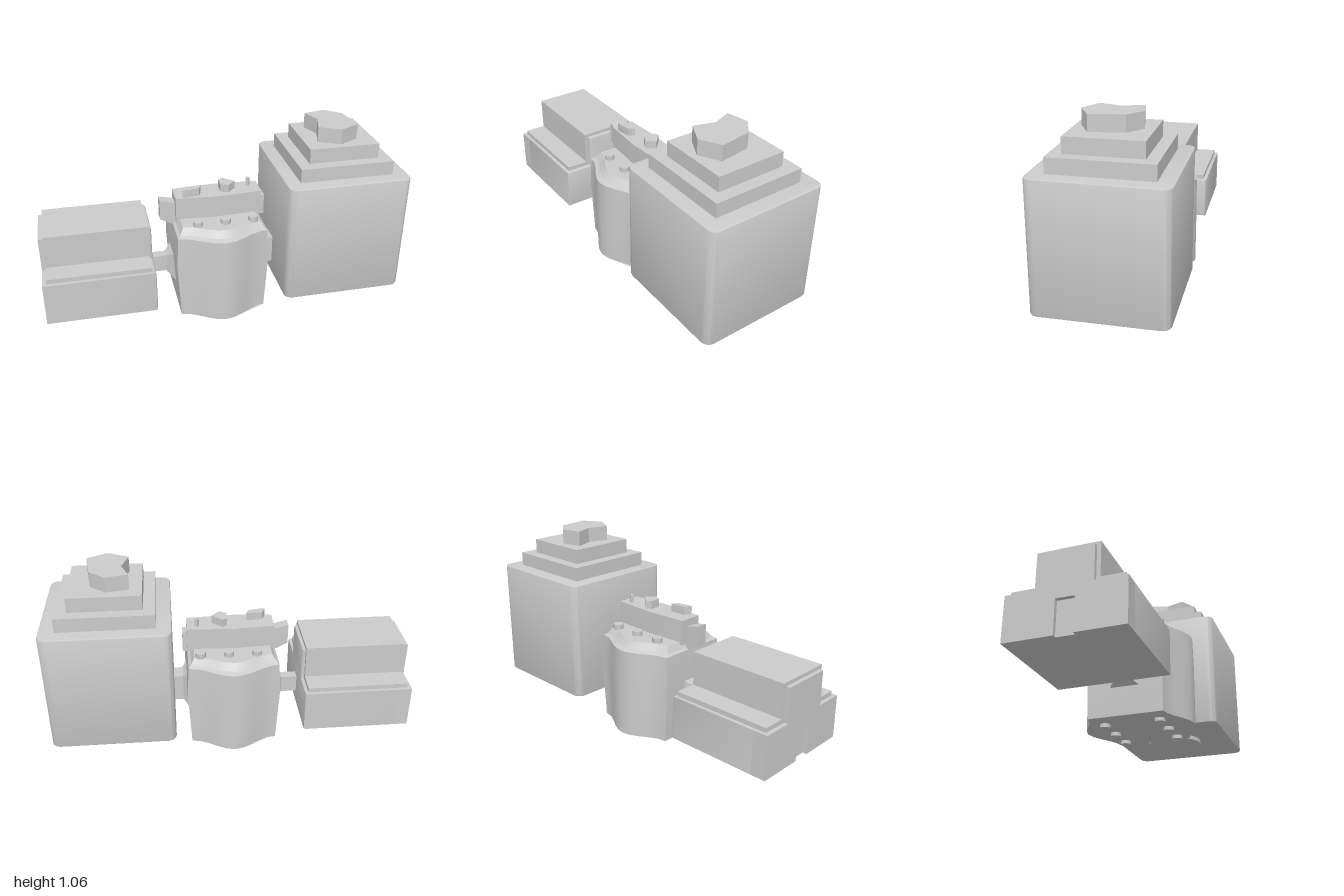
import * as THREE from 'three';
import { toCreasedNormals, mergeGeometries } from 'three/addons/utils/BufferGeometryUtils.js';

const material = new THREE.MeshStandardMaterial({ color: 0xcccccc });

// Upright prism from [x, z] outline points, between heights y0 and y1.
function prism(points, y0, y1, bevel = 0) {
  const shape = new THREE.Shape(points.map(([x, z]) => new THREE.Vector2(x, -z)));
  const geo = new THREE.ExtrudeGeometry(shape, {
    depth: y1 - y0 - 2 * bevel, bevelEnabled: bevel > 0, bevelSize: bevel,
    bevelThickness: bevel, bevelOffset: -bevel, bevelSegments: 2,
  });
  return toCreasedNormals(geo.rotateX(-Math.PI / 2).translate(0, y0 + bevel, 0), 0.6);
}

// Bar along x from [z, y] section points.
function bar(points, x0, x1, bevel = 0) {
  const shape = new THREE.Shape(points.map(([z, y]) => new THREE.Vector2(-z, y)));
  const geo = new THREE.ExtrudeGeometry(shape, {
    depth: x1 - x0 - 2 * bevel, bevelEnabled: bevel > 0, bevelSize: bevel,
    bevelThickness: bevel, bevelOffset: -bevel, bevelSegments: 2,
  });
  return toCreasedNormals(geo.rotateY(Math.PI / 2).translate(x0 + bevel, 0, 0), 0.6);
}

function box(x0, x1, y0, y1, z0, z1) {
  return new THREE.BoxGeometry(x1 - x0, y1 - y0, z1 - z0)
    .translate((x0 + x1) / 2, (y0 + y1) / 2, (z0 + z1) / 2);
}

function disc(x, z, r, y0, y1, sides = 24) {
  return new THREE.CylinderGeometry(r, r, y1 - y0, sides).translate(x, (y0 + y1) / 2, z);
}

// Rectangle outline with rounded corners, as [x, z] points.
function roundedRect(cx, cz, hx, hz, r) {
  const points = [];
  for (let c = 0; c < 4; c++) {
    const sx = c === 0 || c === 3 ? 1 : -1, sz = c < 2 ? 1 : -1;
    for (let i = 0; i <= 3; i++) {
      const a = (c + i / 3) * Math.PI / 2;
      points.push([cx + sx * (hx - r) + r * Math.cos(a), cz + sz * (hz - r) + r * Math.sin(a)]);
    }
  }
  return points;
}

// Flat-sided outline with bowed front and back, scaled about its centre.
function lens(hx, side, bow) {
  const points = [];
  for (const s of [1, -1]) {
    for (let i = 0; i <= 10; i++) {
      const t = 1 - i / 5;
      points.push([-0.015 + s * hx * t, s * (side + (bow - side) * (0.5 + 0.5 * Math.cos(Math.PI * t)))]);
    }
  }
  return points;
}

// Solid from stacked rings of [height, outline].
function loft(rings) {
  const n = rings[0][1].length, pos = [], idx = [];
  for (const [y, outline] of rings) for (const [x, z] of outline) pos.push(x, y, z);
  for (let r = 0; r < rings.length - 1; r++) {
    for (let i = 0; i < n; i++) {
      const a = r * n + i, b = r * n + (i + 1) % n;
      idx.push(a, a + n, b, b, a + n, b + n);
    }
  }
  const top = (rings.length - 1) * n;
  for (let i = 1; i < n - 1; i++) idx.push(0, i, i + 1, top, top + i + 1, top + i);
  const geo = new THREE.BufferGeometry();
  geo.setAttribute('position', new THREE.Float32BufferAttribute(pos, 3));
  geo.setIndex(idx);
  return toCreasedNormals(geo, 0.45);
}

// Inverted-T section: wide base with a raised middle.
function tee(base, shoulder, ridge, top) {
  const c = -0.005;
  return [[c - base, 0.14], [c + base, 0.14], [c + base, shoulder], [c + ridge, shoulder],
    [c + ridge, top], [c - ridge, top], [c - ridge, shoulder], [c - base, shoulder]];
}

export function createModel() {
  const model = new THREE.Group();
  const group = (name) => {
    const g = new THREE.Group();
    g.name = name;
    model.add(g);
    return g;
  };
  const add = (parent, name, geo) => {
    const mesh = new THREE.Mesh(geo, material);
    mesh.name = name;
    parent.add(mesh);
  };

  // Low car with a raised spine and a coupling slot in its outer end
  const low = group('lowCar');
  const section = tee(0.3, 0.38, 0.14, 0.57);
  const slotted = [section[0], [-0.05, 0.14], [-0.05, 0.32], [0.045, 0.32], [0.045, 0.14], ...section.slice(1)];
  add(low, 'lowCarBody', bar(section, -0.93, -0.4, 0.012));
  add(low, 'slottedEnd', bar(slotted, -1, -0.91));
  add(low, 'raisedSpine', bar(tee(0.28, 0.405, 0.16, 0.59), -0.978, -0.42));

  // Middle car body with chamfered deck
  const middle = group('middleCar');
  add(middle, 'middleBody', loft([
    [0.02, lens(0.242, 0.205, 0.303)],
    [0.35, lens(0.26, 0.21, 0.303)],
    [0.52, lens(0.25, 0.205, 0.3)],
    [0.53, lens(0.235, 0.185, 0.27)],
    [0.565, lens(0.215, 0.16, 0.235)],
  ]));

  // Studs on the deck and feet below
  for (const x of [-0.145, 0.01, 0.165]) {
    for (const z of [-0.152, 0.152]) {
      add(middle, 'deckStud', disc(x, z, 0.028, 0.56, 0.592));
      add(middle, 'foot', disc(x, z, 0.028, 0, 0.025));
    }
  }

  // Crest along the deck, with end lugs and loose rocks on top
  add(middle, 'crest', prism([[-0.25, 0.06], [-0.015, 0.075], [0.235, 0.06],
    [0.235, -0.07], [-0.015, -0.085], [-0.25, -0.07]], 0.55, 0.69));
  const lug = new THREE.Shape([[-0.23, 0.53], [-0.27, 0.52], [-0.335, 0.555], [-0.335, 0.67], [-0.23, 0.645]]
    .map(([x, y]) => new THREE.Vector2(x, y)));
  add(middle, 'endLug', new THREE.ExtrudeGeometry(lug, { depth: 0.06, bevelEnabled: false }).translate(0, 0, -0.035));
  add(middle, 'smallLug', box(0.22, 0.26, 0.53, 0.65, -0.035, 0.03));
  const rocks = [
    [[-0.21, 0.05], [-0.19, 0.01], [-0.1, 0.005], [-0.115, 0.04], [-0.195, 0.055]],
    [[0.01, -0.04], [0.035, -0.06], [0.095, -0.005], [0.05, 0.04], [0.01, 0.02]],
    [[0.165, -0.03], [0.175, -0.045], [0.19, -0.035], [0.18, -0.02]],
  ];
  for (const outline of rocks) add(middle, 'crestRock', prism(outline, 0.68, 0.735));

  // Couplings between the cars, flaring at the middle car
  const couplings = group('couplings');
  const flare = (x0, x1, h0, h1, w0, w1, y) => {
    const ring = (x, h, w) => [[x, y - h, -w], [x, y - h, w], [x, y + h, w], [x, y + h, -w]];
    const p = [...ring(x0, h0, w0), ...ring(x1, h1, w1)];
    const geo = new THREE.BufferGeometry();
    geo.setAttribute('position', new THREE.Float32BufferAttribute(p.flat(), 3));
    const idx = [0, 1, 2, 0, 2, 3, 4, 6, 5, 4, 7, 6];
    for (let i = 0; i < 4; i++) {
      const j = (i + 1) % 4;
      idx.push(i, i + 4, j, j, i + 4, j + 4);
    }
    geo.setIndex(idx);
    return toCreasedNormals(geo, 0.2);
  };
  add(couplings, 'lowCoupling', mergeGeometries([
    box(-0.42, -0.3, 0.215, 0.315, -0.03, 0.025).toNonIndexed(),
  ]));
  add(couplings, 'lowCouplingFlare', flare(-0.31, -0.255, 0.05, 0.1, 0.03, 0.09, 0.265));
  add(couplings, 'tallCoupling', box(0.24, 0.33, 0.21, 0.37, -0.05, 0.045));
  add(couplings, 'tallCouplingFlare', flare(0.23, 0.265, 0.12, 0.08, 0.09, 0.05, 0.29));

  // Tall car with a stepped roof, a rough gem and a round base plate
  const tall = group('tallCar');
  add(tall, 'tallBody', prism(roundedRect(0.658, 0, 0.342, 0.34, 0.045), 0.135, 0.815, 0.006));
  add(tall, 'lowerRoofStep', box(0.395, 0.915, 0.81, 0.893, -0.258, 0.258));
  add(tall, 'upperRoofStep', box(0.46, 0.85, 0.89, 0.975, -0.195, 0.195));
  add(tall, 'roofGem', prism([[0.525, -0.12], [0.645, -0.145], [0.73, -0.075], [0.755, 0.1],
    [0.645, 0.16], [0.53, 0.1], [0.565, -0.015]], 0.97, 1.06));
  add(tall, 'basePlate', disc(0.628, 0, 0.16, 0.113, 0.14, 40));

  return model;
}
